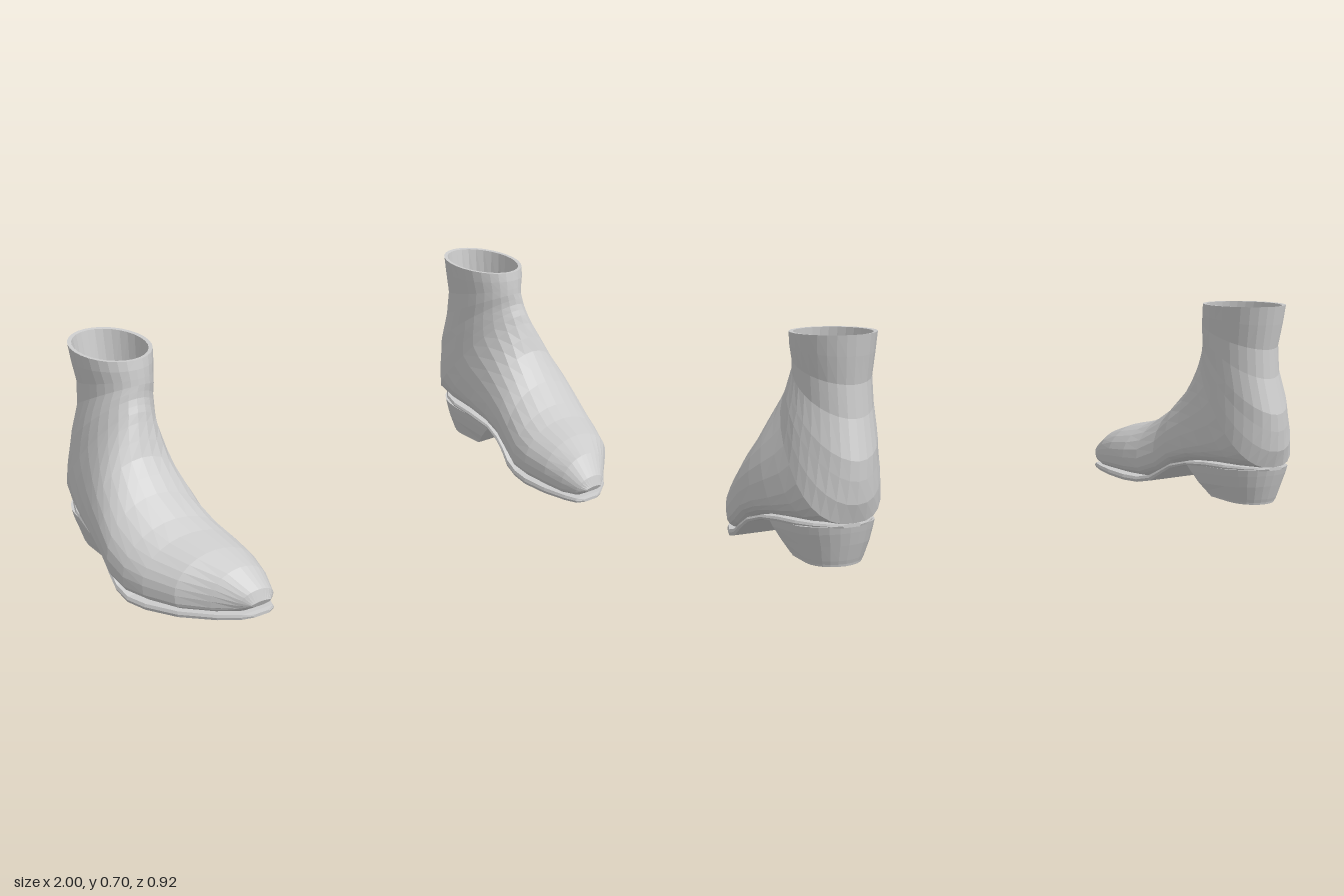
import * as THREE from 'three';

const material = new THREE.MeshStandardMaterial({ color: 0xcccccc, flatShading: true, side: THREE.DoubleSide });

// Skin closed rings of [x, y, z] and cap both ends; side -1 mirrors in x.
function loft(name, rings, side) {
  const n = rings[0].length, last = rings.length - 1;
  const pos = [], index = [];
  const tri = (a, b, c) => (side > 0 ? index.push(a, b, c) : index.push(a, c, b));
  rings.forEach(r => r.forEach(p => pos.push(p[0] * side, p[1], p[2])));
  for (let i = 0; i < last; i++) {
    for (let j = 0; j < n; j++) {
      const k = (j + 1) % n;
      const a = i * n + j, b = i * n + k, c = a + n, d = b + n;
      tri(a, b, c);
      tri(b, d, c);
    }
  }
  for (const r of [0, last]) {
    const centre = pos.length / 3;
    const mean = [0, 1, 2].map(q => rings[r].reduce((s, p) => s + p[q], 0) / n);
    pos.push(mean[0] * side, mean[1], mean[2]);
    for (let j = 0; j < n; j++) {
      const a = r * n + j, b = r * n + (j + 1) % n;
      if (r === 0) tri(centre, b, a);
      else tri(centre, a, b);
    }
  }
  const g = new THREE.BufferGeometry();
  g.setAttribute('position', new THREE.Float32BufferAttribute(pos, 3));
  g.setIndex(index);
  g.computeVertexNormals();
  const mesh = new THREE.Mesh(g, material);
  mesh.name = name;
  return mesh;
}

// Section fanning about the instep: domed above its widest point (fraction m), flatter below for small e.
function footRing([tz, ty, bz, by, xi, xo, m, e]) {
  const ring = [], n = 28;
  for (let j = 0; j < n; j++) {
    const a = j / n * Math.PI * 2, c = Math.cos(a), s = Math.sin(a);
    const pw = c >= 0 ? 1 : e;
    const w = Math.sign(s) * Math.pow(Math.abs(s), pw);
    const h = c >= 0 ? m * (1 - c) : m + (1 - m) * Math.pow(-c, pw);
    ring.push([(xi + xo) / 2 + w * (xo - xi) / 2, ty + (by - ty) * h, tz + (bz - tz) * h]);
  }
  return ring;
}

// D-shaped heel section with a straight breast at the front.
function heelRing([yf, yb, zf, zb, xi, xo]) {
  const mid = (xi + xo) / 2, half = (xo - xi) / 2, zs = zb + Math.min(half * 1.1, (zf - zb) * 0.7);
  const plan = [[xo, zf], [xi, zf]];
  for (let j = 0; j <= 12; j++) {
    const t = j / 12 * Math.PI;
    plan.push([mid - half * Math.cos(t), zs - (zs - zb) * Math.sin(t)]);
  }
  return plan.map(([x, z]) => [x, yf + (yb - yf) * (zf - z) / (zf - zb), z]);
}

// top z, y | bottom z, y | inner x, outer x | widest point, lower roundness
const foot = [
  [0.462, 0.065, 0.452, 0.045, 0.66, 0.73, 0.5, 1],
  [0.45, 0.10, 0.42, 0.025, 0.635, 0.76, 0.6, 0.6],
  [0.385, 0.155, 0.37, 0.018, 0.617, 0.825, 0.65, 0.5],
  [0.30, 0.19, 0.30, 0.018, 0.604, 0.905, 0.65, 0.5],
  [0.20, 0.215, 0.20, 0.018, 0.60, 0.96, 0.65, 0.5],
  [0.14, 0.245, 0.12, 0.02, 0.612, 0.987, 0.67, 0.5],
  [0.06, 0.305, 0.05, 0.045, 0.635, 1.0, 0.68, 0.5],
  [0.02, 0.35, -0.02, 0.09, 0.645, 0.995, 0.68, 0.5],
  [-0.02, 0.40, -0.11, 0.115, 0.655, 0.985, 0.67, 0.5],
];
const ankle = [
  [-0.04, 0.45, -0.22, 0.125, 0.66, 0.97, 0.65, 0.55],
  [-0.06, 0.50, -0.34, 0.13, 0.66, 0.95, 0.62, 0.65],
  [-0.07, 0.53, -0.435, 0.14, 0.662, 0.935, 0.58, 0.8],
  [-0.08, 0.55, -0.457, 0.20, 0.664, 0.925, 0.54, 0.92],
  [-0.088, 0.57, -0.462, 0.27, 0.666, 0.915, 0.5, 1],
  [-0.09, 0.59, -0.46, 0.33, 0.668, 0.905, 0.5, 1],
  [-0.092, 0.61, -0.425, 0.45, 0.668, 0.89, 0.5, 1],
  [-0.094, 0.63, -0.415, 0.55, 0.668, 0.89, 0.5, 1],
  [-0.098, 0.66, -0.43, 0.635, 0.66, 0.90, 0.5, 1],
  [-0.105, 0.69, -0.44, 0.70, 0.655, 0.905, 0.5, 1],
];
// rim, lining and insole
const lining = [
  [-0.118, 0.69, -0.427, 0.698, 0.668, 0.892, 0.5, 1],
  [-0.107, 0.57, -0.40, 0.55, 0.68, 0.876, 0.5, 1],
  [-0.06, 0.36, -0.435, 0.33, 0.68, 0.90, 0.5, 1],
  [-0.06, 0.17, -0.42, 0.165, 0.69, 0.905, 0.5, 1],
];
// z | top y, bottom y | inner x, outer x
const soleRows = [
  [0.452, 0.02, 0.01, 0.66, 0.72],
  [0.435, 0.022, 0.006, 0.635, 0.755],
  [0.39, 0.022, 0.004, 0.62, 0.815],
  [0.30, 0.022, 0.002, 0.604, 0.90],
  [0.20, 0.022, 0.001, 0.602, 0.957],
  [0.13, 0.024, 0.004, 0.615, 0.98],
  [0.07, 0.04, 0.018, 0.63, 0.985],
  [0.025, 0.068, 0.05, 0.645, 0.982],
  [-0.02, 0.095, 0.08, 0.655, 0.975],
  [-0.09, 0.115, 0.102, 0.67, 0.958],
  [-0.20, 0.13, 0.115, 0.675, 0.945],
  [-0.30, 0.137, 0.122, 0.68, 0.93],
  [-0.37, 0.14, 0.126, 0.705, 0.903],
  [-0.415, 0.141, 0.128, 0.74, 0.868],
  [-0.437, 0.141, 0.13, 0.775, 0.833],
];
// front y, back y | front z, back z | inner x, outer x
const heelLevels = [
  [0.105, 0.135, -0.09, -0.435, 0.68, 0.93],
  [0.08, 0.11, -0.115, -0.428, 0.685, 0.925],
  [0.045, 0.07, -0.147, -0.415, 0.695, 0.912],
  [0.018, 0.02, -0.172, -0.397, 0.71, 0.90],
  [0.008, 0.008, -0.182, -0.392, 0.714, 0.896],
];
const heelCapLevels = [
  [0.008, 0.008, -0.182, -0.39, 0.716, 0.894],
  [0, 0, -0.19, -0.388, 0.718, 0.892],
];

function createBoot(name, side) {
  const boot = new THREE.Group();
  boot.name = name;
  const soleRings = soleRows.map(([z, t, b, xi, xo]) => [
    [xi + 0.004, t, z], [xo - 0.004, t, z], [xo, (t + b) / 2, z],
    [xo - 0.004, b, z], [xi + 0.004, b, z], [xi, (t + b) / 2, z],
  ]);
  boot.add(
    loft('upper', [...foot, ...ankle, ...lining].map(footRing), side),
    loft('sole', soleRings, side),
    loft('heel', heelLevels.map(heelRing), side),
    loft('heelCap', heelCapLevels.map(heelRing), side),
  );
  return boot;
}

export function createModel() {
  const model = new THREE.Group();
  model.name = 'ankleBoots';
  model.add(createBoot('leftBoot', 1), createBoot('rightBoot', -1));
  return model;
}
